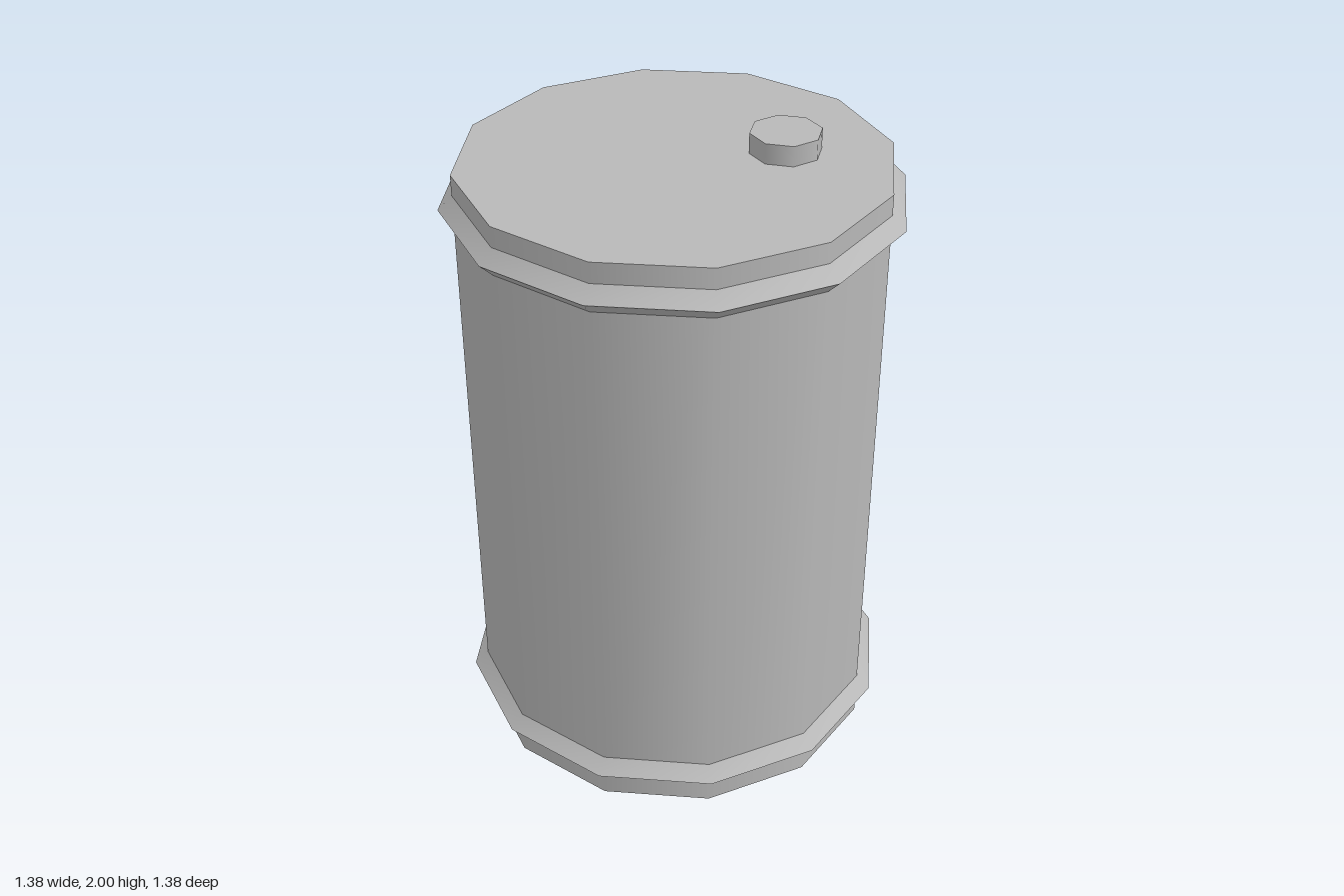
import * as THREE from 'three';
import { toCreasedNormals } from 'three/addons/utils/BufferGeometryUtils.js';

export function createModel() {
  const model = new THREE.Group();
  model.name = 'barrel';
  const steel = new THREE.MeshStandardMaterial({ color: 0xb8b8b8 });
  steel.name = 'grey steel';

  const radius = 0.645, height = 1.937, sides = 12;

  const add = (name, geometry, x, y) => {
    const mesh = new THREE.Mesh(geometry, steel);
    mesh.name = name;
    mesh.position.set(x, y, 0);
    model.add(mesh);
  };

  // Drum body, smooth around its twelve sides
  add('drumBody', new THREE.CylinderGeometry(radius, radius, height, sides), 0, height / 2);

  // Diamond-section hoops, smooth around and sharp along their ridges
  for (const [name, y] of [['lowerHoop', 0.109], ['upperHoop', 1.83]]) {
    const hoop = new THREE.TorusGeometry(radius, 0.043, 4, sides).rotateX(Math.PI / 2);
    add(name, toCreasedNormals(hoop, 0.7), 0, y);
  }

  // Bung cap, off centre on the lid
  const capHeight = 2 - height;
  add('bungCap', new THREE.CylinderGeometry(0.108, 0.108, capHeight, 8), 0.322, height + capHeight / 2);

  return model;
}
